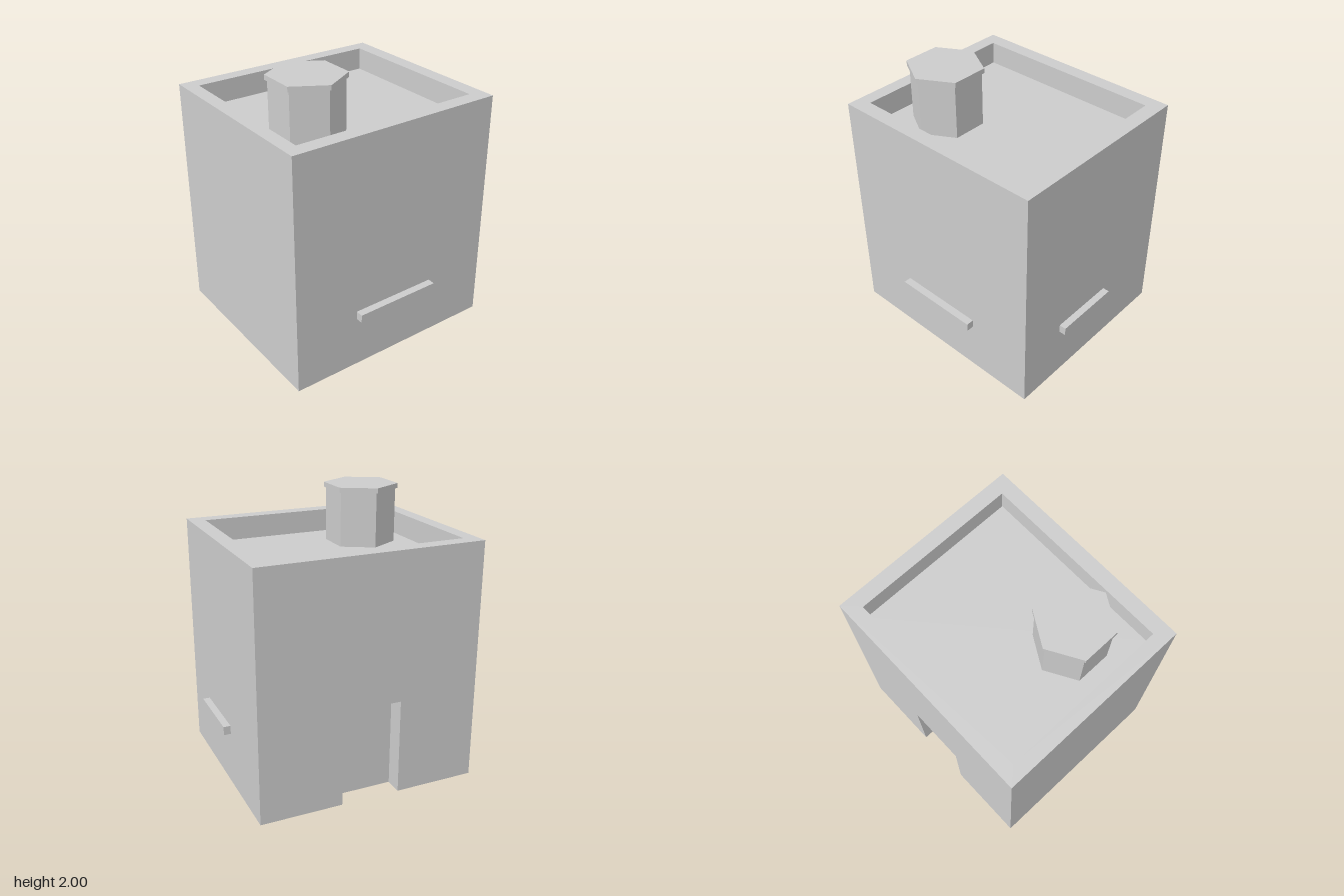
import * as THREE from 'three';

export function createModel() {
  const model = new THREE.Group();
  const stone = new THREE.MeshStandardMaterial({ color: 0xcccccc });
  stone.name = 'pale grey stone';

  const add = (name, geometry, x = 0, y = 0, z = 0) => {
    const mesh = new THREE.Mesh(geometry, stone);
    mesh.name = name;
    mesh.position.set(x, y, z);
    model.add(mesh);
  };
  // Plan outlines are [x, z] points, extruded upwards
  const plan = (points) => points.map(([x, z]) => new THREE.Vector2(x, -z));
  const rect = (x0, x1, z0, z1) => [[x0, z1], [x1, z1], [x1, z0], [x0, z0]];
  const rise = (shape, height) =>
    new THREE.ExtrudeGeometry(shape, { depth: height, bevelEnabled: false }).rotateX(-Math.PI / 2);

  const X0 = -0.83, X1 = 0.78, Z0 = -0.745, Z1 = 0.69;
  const doorTop = 0.69, roof = 1.575, top = 1.74;

  // Ground storey with the doorway recessed into the back
  const doorZ = Z0 + 0.13;
  add('groundStorey', rise(new THREE.Shape(plan([
    [X0, Z1], [X1, Z1], [X1, Z0], [0.19, Z0], [0.19, doorZ],
    [-0.24, doorZ], [-0.24, Z0], [X0, Z0],
  ])), doorTop));

  // Solid upper walls up to the flat roof
  add('upperWalls', rise(new THREE.Shape(plan(rect(X0, X1, Z0, Z1))), roof - doorTop), 0, doorTop);

  // Parapet around the roof
  const ring = new THREE.Shape(plan(rect(X0, X1, Z0, Z1)));
  ring.holes.push(new THREE.Path(plan(rect(-0.73, 0.67, -0.64, 0.58))));
  add('parapet', rise(ring, top - roof), 0, roof);

  // Six-sided chimney with a slightly wider cap
  const hexagon = (r, h) => new THREE.CylinderGeometry(r, r, h, 6).toNonIndexed();
  const flat = (g) => { g.computeVertexNormals(); return g; };
  add('chimney', flat(hexagon(0.25, 1.965 - roof)), -0.386, (1.965 + roof) / 2, 0.193);
  add('chimneyCap', flat(hexagon(0.267, 0.035)), -0.386, 1.9825, 0.193);

  // Ledges on the front and on the +x side
  add('frontLedge', new THREE.BoxGeometry(0.645, 0.06, 0.055), -0.027, 0.415, Z1 + 0.0275);
  add('sideLedge', new THREE.BoxGeometry(0.05, 0.062, 0.5), X1 + 0.025, 0.424, 0.077);

  return model;
}
